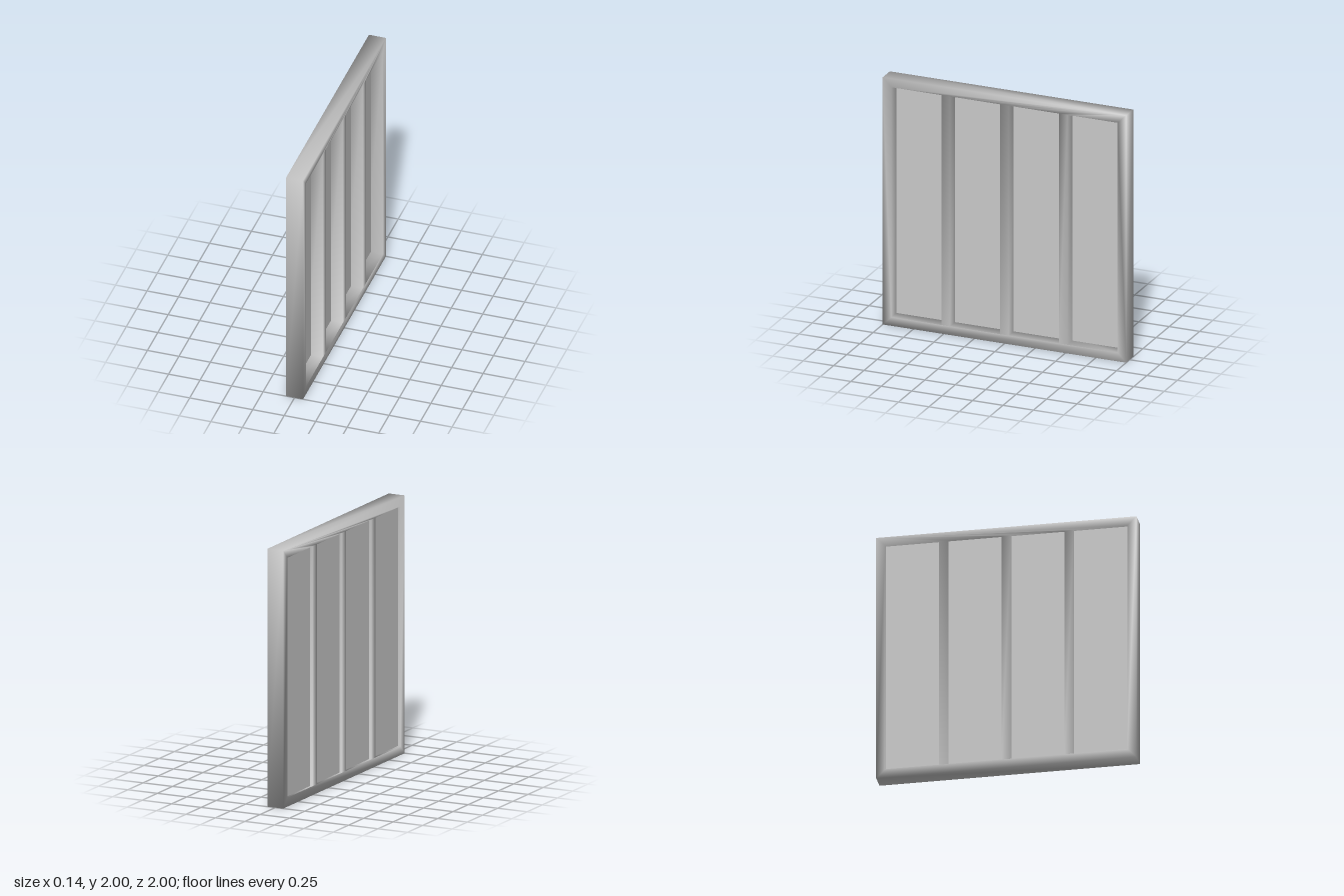
import * as THREE from 'three';
import { mergeVertices } from 'three/addons/utils/BufferGeometryUtils.js';

const DEPTH = 0.135;    // thickness of the frame along x
const BAR = 0.07;       // width of the rails and bars
const PANES = 4;
const PANE_W = (2 - BAR * (PANES + 1)) / PANES;

function rectangle(target, x, y, w, h) {
  target.moveTo(x, y);
  target.lineTo(x + w, y);
  target.lineTo(x + w, y + h);
  target.lineTo(x, y + h);
  target.closePath();
  return target;
}

export function createModel() {
  const group = new THREE.Group();
  group.name = 'panelledWindow';
  const material = new THREE.MeshStandardMaterial({ color: 0xcccccc });

  // Frame with upright bars: one slab with four openings
  const outline = rectangle(new THREE.Shape(), -1, 0, 2, 2);
  const paneStart = (i) => -1 + BAR + i * (PANE_W + BAR);
  for (let i = 0; i < PANES; i++) {
    outline.holes.push(rectangle(new THREE.Path(), paneStart(i), BAR, PANE_W, 2 - 2 * BAR));
  }
  let frameGeometry = new THREE.ExtrudeGeometry(outline, { depth: DEPTH, bevelEnabled: false });
  frameGeometry.translate(0, 0, -DEPTH / 2).rotateY(Math.PI / 2);
  // Shared corners give the frame its soft shading
  frameGeometry.deleteAttribute('normal');
  frameGeometry.deleteAttribute('uv');
  frameGeometry = mergeVertices(frameGeometry);
  frameGeometry.computeVertexNormals();
  const frame = new THREE.Mesh(frameGeometry, material);
  frame.name = 'frame';
  group.add(frame);

  // Flat panes, set deep from the +x side and shallow from the -x side
  const paneGeometry = new THREE.BoxGeometry(0.02, 2 - 2 * BAR, PANE_W);
  for (let i = 0; i < PANES; i++) {
    const pane = new THREE.Mesh(paneGeometry, material);
    pane.name = `pane${i + 1}`;
    pane.position.set(-0.038, 1, paneStart(i) + PANE_W / 2);
    group.add(pane);
  }
  return group;
}
